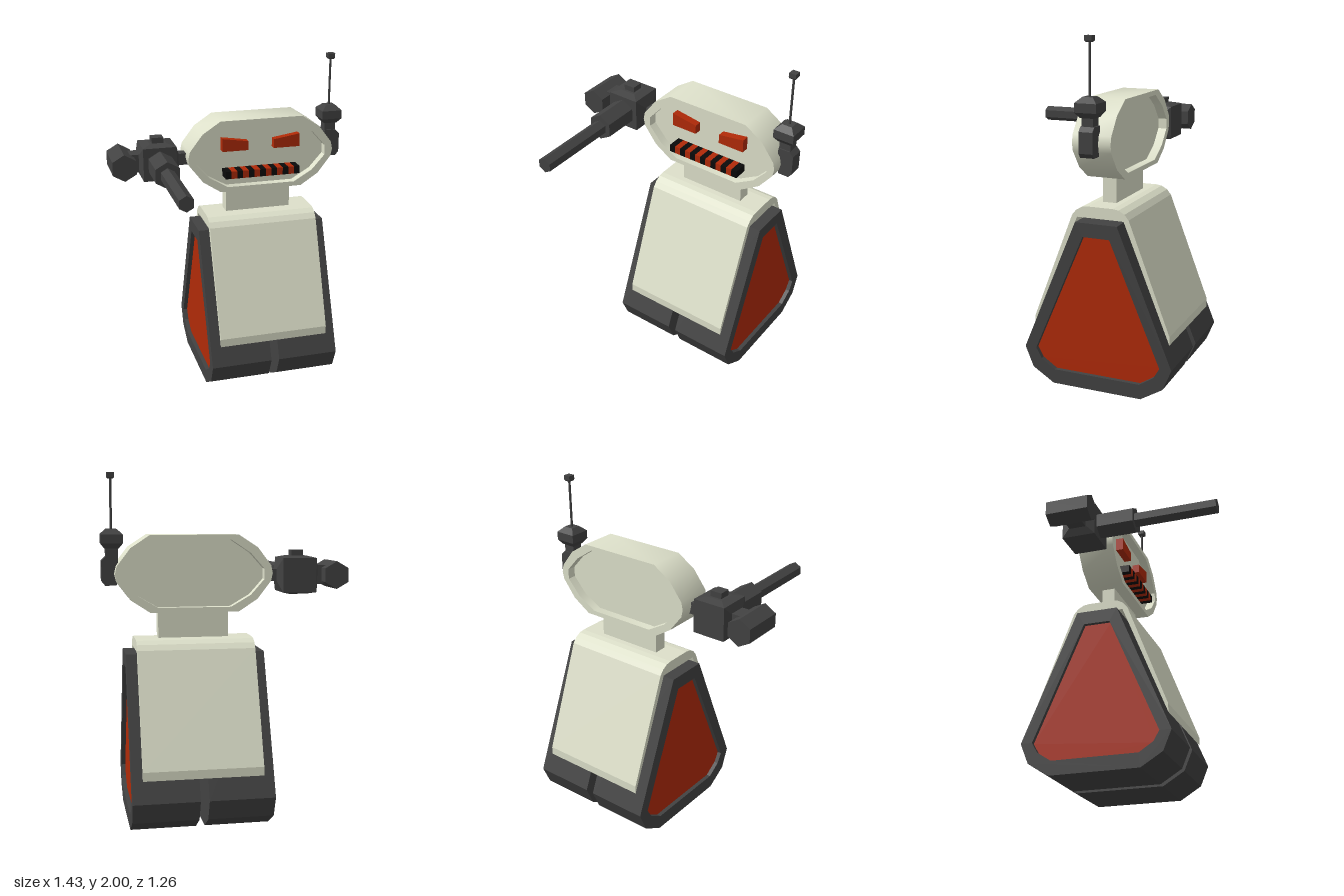
import * as THREE from 'three';
import { toCreasedNormals } from 'three/addons/utils/BufferGeometryUtils.js';
import { ConvexGeometry } from 'three/addons/geometries/ConvexGeometry.js';

const CX = 0.19, CZ = -0.18; // body axis

const paint = (name, color) => {
  const m = new THREE.MeshStandardMaterial({ color });
  m.name = name;
  return m;
};

// Polygon mirrored across its vertical axis, from the points of its right half
const mirrored = (half) =>
  [...half, ...half.map(([x, y]) => [-x, y]).reverse()].map(([x, y]) => new THREE.Vector2(x, y));

// Prism along z; a hole runs against the outline so that its walls face inward
const extrude = (points, depth, hole) => {
  const shape = new THREE.Shape(points);
  if (hole) shape.holes.push(new THREE.Path([...hole].reverse()));
  return new THREE.ExtrudeGeometry(shape, { depth, bevelEnabled: false });
};

// Box whose top has another size than its bottom
function taperBox(bottom, top, y0, y1) {
  const g = new THREE.BoxGeometry(1, y1 - y0, 1).toNonIndexed();
  const p = g.attributes.position;
  for (let i = 0; i < p.count; i++) {
    const s = p.getY(i) > 0 ? top : bottom;
    p.setXYZ(i, p.getX(i) * s, p.getY(i) + (y0 + y1) / 2, p.getZ(i) * s);
  }
  g.computeVertexNormals();
  return g;
}

// Six-sided bar along z with a corner pointing up
function hexBar(radius, z0, z1) {
  const g = new THREE.CylinderGeometry(radius, radius, z1 - z0, 6).toNonIndexed();
  g.computeVertexNormals();
  return g.rotateX(Math.PI / 2).translate(0, 0, (z0 + z1) / 2);
}

export function createModel() {
  const cream = paint('cream', 0xdde0ca);
  const dark = paint('darkGrey', 0x424242);
  const red = paint('rustRed', 0xb02a08);
  const black = paint('black', 0x0a0a0a);
  const model = new THREE.Group();
  model.name = 'robot';

  const add = (name, geometry, material, x = 0, y = 0, z = 0, parent = model) => {
    const mesh = new THREE.Mesh(geometry, material);
    mesh.name = name;
    mesh.position.set(x, y, z);
    parent.add(mesh);
    return mesh;
  };
  const box = (name, w, h, d, material, x, y, z, parent) =>
    add(name, new THREE.BoxGeometry(w, h, d), material, x, y, z, parent);

  // Tracks: a rim around a recessed core with a red outer panel
  const rim = mirrored([[0.125, 0.98], [0.45, 0.2], [0.4, 0.08], [0.27, 0]]);
  const inset = mirrored([[0.08, 0.9], [0.38, 0.2], [0.345, 0.14], [0.26, 0.085]]);
  for (const side of [1, -1]) {
    const track = new THREE.Group();
    track.name = side > 0 ? 'leftTrack' : 'rightTrack';
    track.position.set(CX, 0, CZ);
    const part = (name, points, x0, x1, material, hole) => {
      const g = extrude(points, x1 - x0, hole).rotateY(Math.PI / 2);
      add(name, g, material, side > 0 ? x0 : -x1, 0, 0, track);
    };
    part('trackRim', rim, 0.025, 0.4, dark, inset);
    part('trackCore', inset, 0.025, 0.367, dark);
    part('trackPanel', inset, 0.367, 0.375, red);
    model.add(track);
  }

  // Body shell: a bent sheet draped over both tracks
  const half = [[0.075, 1.06], [0.11, 1.055], [0.145, 1.035], [0.17, 1.005], [0.415, 0.37], [0.415, 0.32], [0.14, 0.995]];
  add('bodyShell', extrude(mirrored(half), 0.68).rotateY(Math.PI / 2), cream, CX - 0.34, 0, CZ);

  box('neck', 0.41, 0.18, 0.08, cream, CX, 1.14, CZ);

  // Head: a deep rim around a plate that is recessed at front and back
  const outer = mirrored([[0.255, 0.22], [0.365, 0.148], [0.444, 0.045], [0.454, 0], [0.444, -0.045], [0.365, -0.148], [0.255, -0.22]]);
  const inner = mirrored([[0.21, 0.192], [0.325, 0.115], [0.405, 0.025], [0.405, -0.035], [0.325, -0.125], [0.21, -0.192]]);
  const head = new THREE.Group();
  head.name = 'head';
  head.position.set(CX, 1.432, CZ);
  model.add(head);
  add('headRim', toCreasedNormals(extrude(outer, 0.224, inner), 0.62), cream, 0, 0, -0.112, head);
  add('facePlate', extrude(inner, 0.12), cream, 0, 0, -0.06, head);

  // Slanted eyes
  for (const side of [1, -1]) {
    const eye = [[0.08, 0.03], [0.242, 0.03], [0.242, 0.11], [0.08, 0.085]]
      .map(([x, y]) => new THREE.Vector2(side * x, y));
    add(side > 0 ? 'leftEye' : 'rightEye', extrude(eye, 0.055), red, 0, 0, 0.05, head);
  }

  // Mouth: a row of alternating blocks
  const tooth = 0.466 / 13;
  for (let i = 0; i < 13; i++) {
    box('tooth', tooth, 0.046, 0.1, i % 2 ? red : black, (i - 6) * tooth, -0.107, 0.095, head);
  }

  // Right arm: chamfered hub carrying a long barrel and a side drum
  const arm = new THREE.Group();
  arm.name = 'rightArm';
  arm.position.set(-0.43, 1.415, CZ);
  model.add(arm);
  const hub = [];
  for (const x of [1, -1]) for (const y of [1, -1]) for (const z of [1, -1]) {
    hub.push(
      new THREE.Vector3(x * 0.1, y * 0.1, z * 0.1),
      new THREE.Vector3(x * 0.126, y * 0.03, z * 0.03),
      new THREE.Vector3(x * 0.05, y * 0.112, z * 0.05),
    );
  }
  add('armHub', new ConvexGeometry(hub), dark, 0, 0, 0, arm);
  box('armHubKnob', 0.07, 0.05, 0.07, dark, 0, 0.12, 0, arm);
  box('shoulder', 0.2, 0.07, 0.066, dark, 0.2, 0, 0, arm);
  add('barrelSleeve', hexBar(0.081, 0.06, 0.32), dark, 0, 0, 0, arm);
  add('barrel', hexBar(0.046, 0.3, 0.807), dark, 0, 0, 0, arm);
  box('drumLink', 0.09, 0.11, 0.1, dark, -0.14, 0, 0, arm);
  add('sideDrum', hexBar(0.081, -0.128, 0.124), dark, -0.215, 0, 0, arm);

  // Antenna on the left side of the head
  const antenna = new THREE.Group();
  antenna.name = 'antenna';
  antenna.position.set(0.655, 0, CZ);
  model.add(antenna);
  const bracket = [[-0.035, 1.53], [0.035, 1.53], [0.06, 1.505], [0.06, 1.39], [0.04, 1.365], [-0.025, 1.365], [-0.035, 1.45]]
    .map(([x, y]) => new THREE.Vector2(x, y));
  add('antennaBracket', extrude(bracket, 0.08), dark, 0, 0, -0.04, antenna);
  box('antennaStem', 0.07, 0.07, 0.064, dark, 0, 1.555, 0, antenna);
  add('antennaCapBottom', taperBox(0.08, 0.125, 1.575, 1.605), dark, 0, 0, 0, antenna);
  add('antennaCapMiddle', taperBox(0.125, 0.125, 1.605, 1.655), dark, 0, 0, 0, antenna);
  add('antennaCapTop', taperBox(0.125, 0.06, 1.655, 1.685), dark, 0, 0, 0, antenna);
  add('antennaRod', new THREE.CylinderGeometry(0.007, 0.007, 0.3, 8), dark, 0, 1.825, 0, antenna);
  add('antennaTipBottom', taperBox(0.032, 0.042, 1.966, 1.974), dark, 0, 0, 0, antenna);
  add('antennaTip', taperBox(0.042, 0.042, 1.974, 2), dark, 0, 0, 0, antenna);

  return model;
}
